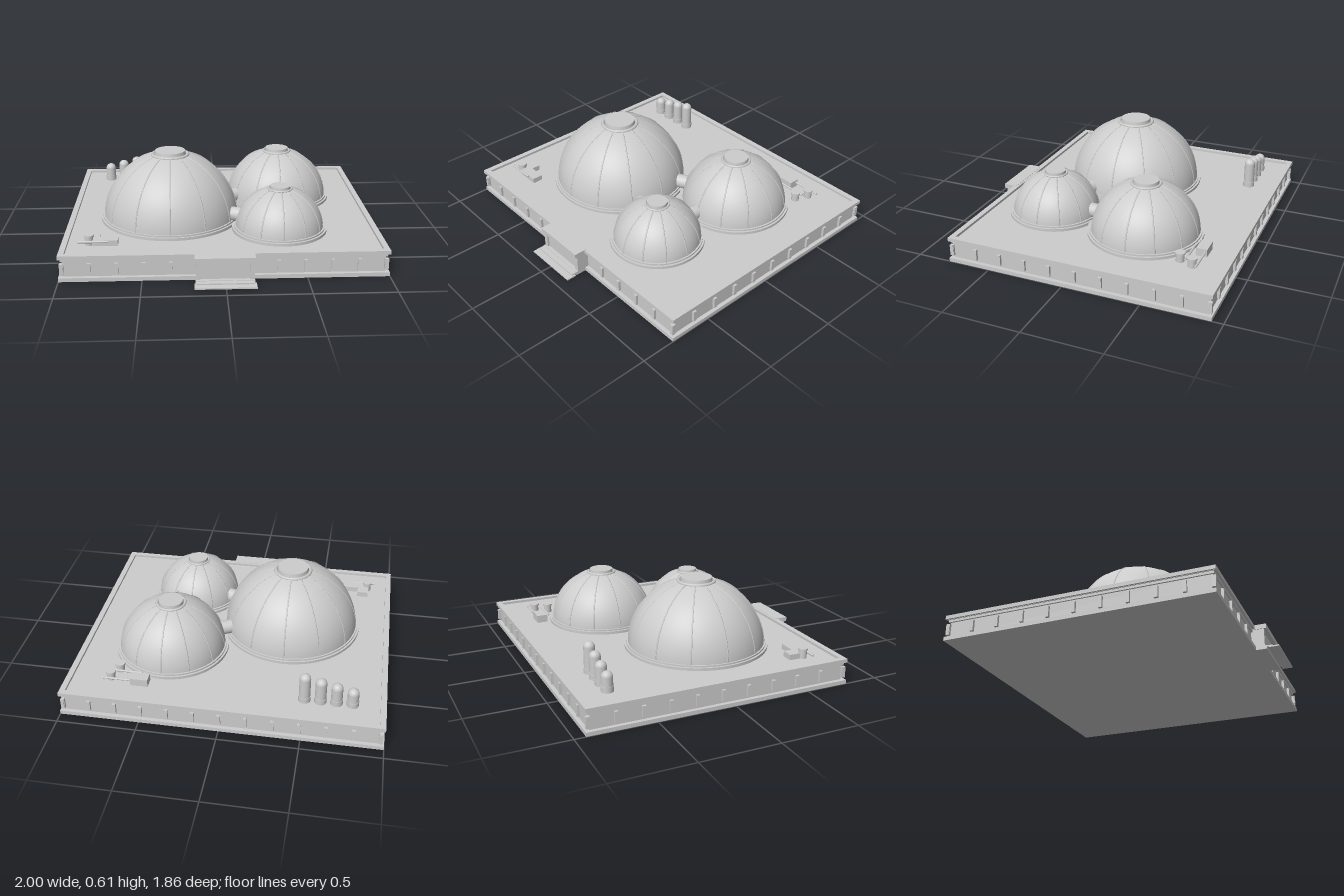
import * as THREE from 'three';

const grey = new THREE.MeshStandardMaterial({ color: 0xcccccc });
grey.name = 'pale grey';

export function createModel() {
  const model = new THREE.Group();
  model.name = 'domedStation';
  const DECK = 0.15, ZC = -0.075; // deck height, centre of the platform in z

  const add = (name, geometry, x = 0, y = 0, z = 0, parent = model) => {
    const mesh = new THREE.Mesh(geometry, grey);
    mesh.name = name;
    mesh.position.set(x, y, z);
    parent.add(mesh);
    return mesh;
  };
  // Box given by its limits
  const box = (name, x0, x1, y0, y1, z0, z1) =>
    add(name, new THREE.BoxGeometry(x1 - x0, y1 - y0, z1 - z0), (x0 + x1) / 2, (y0 + y1) / 2, (z0 + z1) / 2);
  // Upright cylinder standing on y0
  const post = (name, r, y0, y1, x, z, parent) =>
    add(name, new THREE.CylinderGeometry(r, r, y1 - y0, 24), x, (y0 + y1) / 2, z, parent);
  // Platform slab, centred on the platform
  const slab = (name, hx, hz, y0, y1) => box(name, -hx, hx, y0, y1, ZC - hz, ZC + hz);

  // Platform
  slab('plinth', 1, 0.855, 0, 0.025);
  slab('wall', 0.975, 0.83, 0.025, 0.13);
  slab('corniceUnderside', 0.985, 0.84, 0.125, 0.142);
  slab('deck', 0.99, 0.845, 0.14, DECK);
  for (const s of [-1, 1]) {
    box('parapet', -1, 1, 0.142, 0.166, ZC + s * 0.837 - 0.018, ZC + s * 0.837 + 0.018);
    box('parapet', s * 0.982 - 0.018, s * 0.982 + 0.018, 0.142, 0.166, ZC - 0.82, ZC + 0.82);
    // Wall pilasters
    for (let i = 0; i < 13; i++) {
      const x = -0.978 + i * 0.163;
      if (s > 0 && Math.abs(x) < 0.18) continue;
      box('pilaster', x - 0.011, x + 0.011, 0.04, 0.112, ZC + s * 0.836 - 0.01, ZC + s * 0.836 + 0.01);
    }
    for (let i = 0; i < 11; i++) {
      const z = ZC - 0.84 + i * 0.168;
      box('pilaster', s * 0.981 - 0.01, s * 0.981 + 0.01, 0.04, 0.112, z - 0.011, z + 0.011);
    }
  }

  // Entrance with canopy and steps
  box('entranceBody', -0.165, 0.16, 0, 0.14, 0.74, 0.825);
  box('entranceJamb', -0.18, -0.15, 0, 0.14, 0.74, 0.837);
  box('entranceJamb', 0.145, 0.175, 0, 0.14, 0.74, 0.837);
  box('entranceCanopy', -0.185, 0.178, 0.138, 0.168, 0.76, 0.853);
  box('entranceSill', -0.18, 0.175, 0, 0.025, 0.74, 0.85);
  box('upperStep', -0.18, 0.173, 0.014, 0.022, 0.84, 0.885);
  box('lowerStep', -0.188, 0.183, 0.004, 0.013, 0.862, 0.927);

  // Ribbed domes with a base ring and a flat cap
  const domes = [
    { x: -0.33, z: 0.065, r: 0.443 },
    { x: 0.415, z: -0.307, r: 0.347 },
    { x: 0.37, z: 0.343, r: 0.282 },
  ];
  for (const { x, z, r } of domes) {
    const dome = new THREE.Group();
    dome.name = 'dome';
    dome.position.set(x, DECK, z);
    model.add(dome);
    add('domeShell', new THREE.SphereGeometry(r, 64, 24, 0, Math.PI * 2, 0, Math.PI / 2), 0, 0, 0, dome);
    post('baseRing', r + 0.023, 0, 0.018, 0, 0, dome).geometry = new THREE.CylinderGeometry(r + 0.023, r + 0.023, 0.018, 64);
    post('baseRingLip', r + 0.01, 0, 0.028, 0, 0, dome).geometry = new THREE.CylinderGeometry(r + 0.01, r + 0.01, 0.028, 64);
    const rib = new THREE.TorusGeometry(r - 0.001, 0.005, 6, 24, Math.PI / 2 - 0.27);
    for (let i = 0; i < 12; i++) {
      add('rib', rib, 0, 0, 0, dome).rotation.y = i * Math.PI / 6;
    }
    const capY = r * 0.955;
    const collar = add('capCollar', new THREE.TorusGeometry(r * 0.26, r * 0.026, 8, 48), 0, capY + 0.004, 0, dome);
    collar.rotation.x = Math.PI / 2;
    add('cap', new THREE.CylinderGeometry(r * 0.225, r * 0.24, 0.04, 48), 0, r + 0.012 - 0.02, 0, dome);
  }

  // Tunnels joining neighbouring domes
  for (const [i, j] of [[0, 1], [0, 2], [1, 2]]) {
    const a = domes[i], b = domes[j];
    const dx = b.x - a.x, dz = b.z - a.z, d = Math.hypot(dx, dz);
    const t = (a.r + (d - a.r - b.r) / 2) / d;
    const tunnel = add('tunnel', new THREE.CylinderGeometry(0.047, 0.047, 0.11, 24), a.x + dx * t, 0.212, a.z + dz * t);
    tunnel.rotation.set(Math.PI / 2, 0, -Math.atan2(dx, dz), 'YXZ');
    tunnel.rotation.set(Math.PI / 2, Math.atan2(dx, dz), 0, 'YXZ');
  }

  // Row of round-topped tanks, rising in height
  for (let i = 0; i < 4; i++) {
    const x = -0.795 + i * 0.098, top = 0.275 + i * 0.025, r = 0.035;
    post('tank', r, DECK, top - r, x, -0.727);
    add('tankTop', new THREE.SphereGeometry(r, 24, 8, 0, Math.PI * 2, 0, Math.PI / 2), x, top - r, -0.727);
    post('tankCollar', 0.038, DECK, 0.185, x, -0.727);
  }

  // Service equipment: cabinets, vents and pipes
  const pipe = (x0, x1, y, z) => {
    add('pipe', new THREE.CylinderGeometry(0.007, 0.007, x1 - x0, 12), (x0 + x1) / 2, y, z).rotation.z = Math.PI / 2;
  };
  const vent = (x, z, top) => {
    post('vent', 0.026, DECK, top, x, z);
    post('ventRim', 0.031, top - 0.012, top, x, z);
  };
  box('cabinet', 0.474, 0.586, DECK, 0.2, -0.765, -0.695);
  pipe(0.58, 0.768, 0.18, -0.752);
  pipe(0.528, 0.71, 0.18, -0.67);
  vent(0.72, -0.716, 0.21);
  vent(0.683, -0.63, 0.21);
  box('cabinet', -0.838, -0.765, DECK, 0.185, 0.465, 0.58);
  box('cabinet', -0.8, -0.652, DECK, 0.185, 0.522, 0.592);
  vent(-0.83, 0.562, 0.215);
  pipe(-0.895, -0.71, 0.18, 0.597);

  return model;
}
